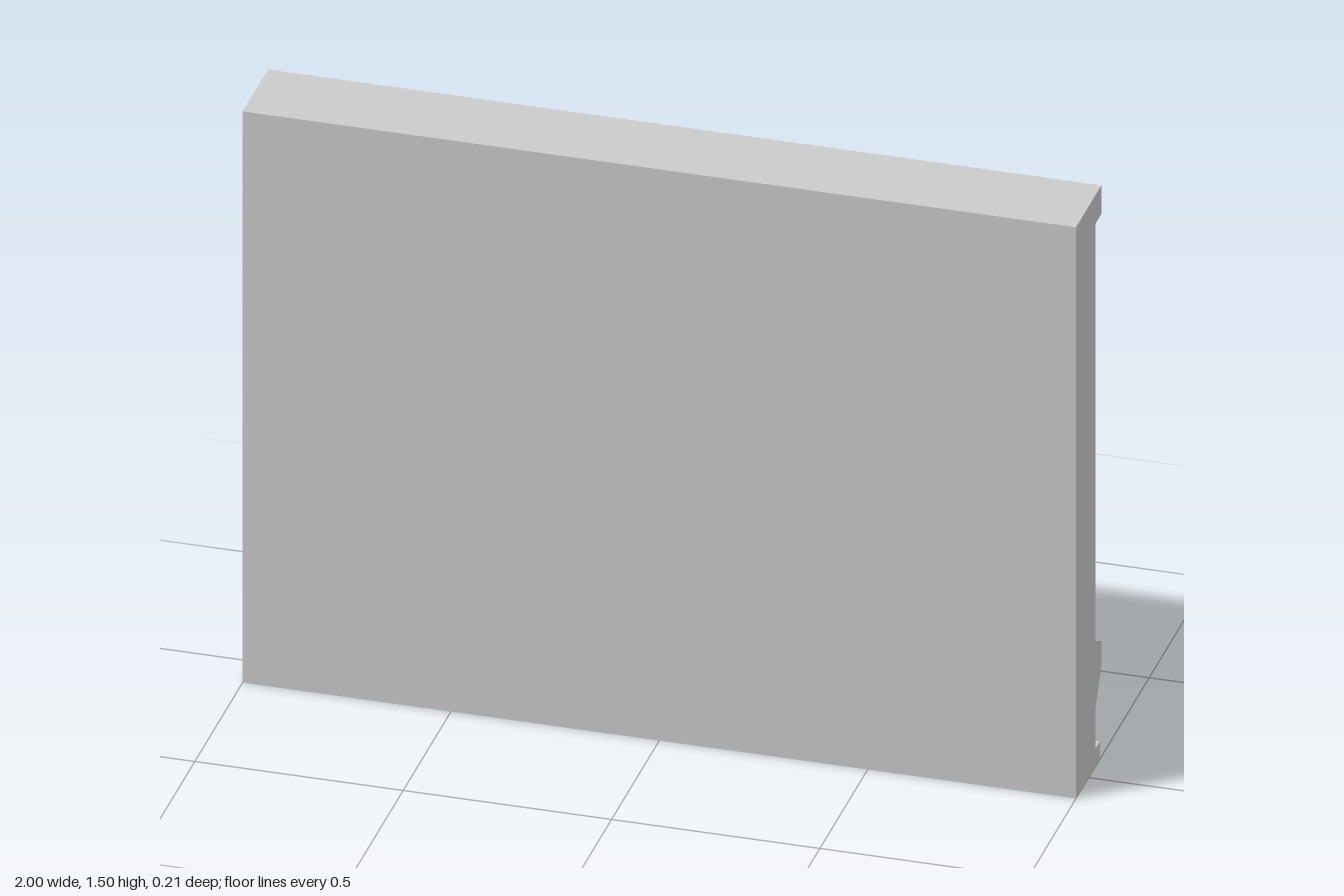
import * as THREE from 'three';

const FRONT = 0.105, BACK = -0.105, PANEL = -0.055, LIP = -0.092;

// Extrudes a (z, y) cross-section along x, centred on x = 0
function bar(name, points, width, material) {
  const shape = new THREE.Shape(points.map(([z, y]) => new THREE.Vector2(z, y)));
  const geometry = new THREE.ExtrudeGeometry(shape, { depth: width, bevelEnabled: false });
  geometry.translate(0, 0, -width / 2);
  geometry.rotateY(-Math.PI / 2);
  const mesh = new THREE.Mesh(geometry, material);
  mesh.name = name;
  return mesh;
}

export function createModel() {
  const group = new THREE.Group();
  group.name = 'wallPanel';
  const material = new THREE.MeshStandardMaterial({ color: 0xcccccc, flatShading: true });

  // Wall slab with top rail, sloped sill and bottom lip in one profile
  group.add(bar('wall', [
    [FRONT, 0], [FRONT, 1.5],
    [BACK, 1.5], [BACK, 1.425], [PANEL, 1.425], // top rail
    [PANEL, 0.33], [BACK, 0.303], [BACK, 0.235], [PANEL, 0.15], // sill
    [PANEL, 0.047], [LIP, 0.047], [LIP, 0], // bottom lip
  ], 2, material));

  // Upright between the two recessed panels, its foot following the sill slope
  group.add(bar('centrePost', [
    [PANEL, 0.33], [PANEL, 1.425], [BACK, 1.425], [BACK, 0.303],
  ], 0.08, material));

  return group;
}
